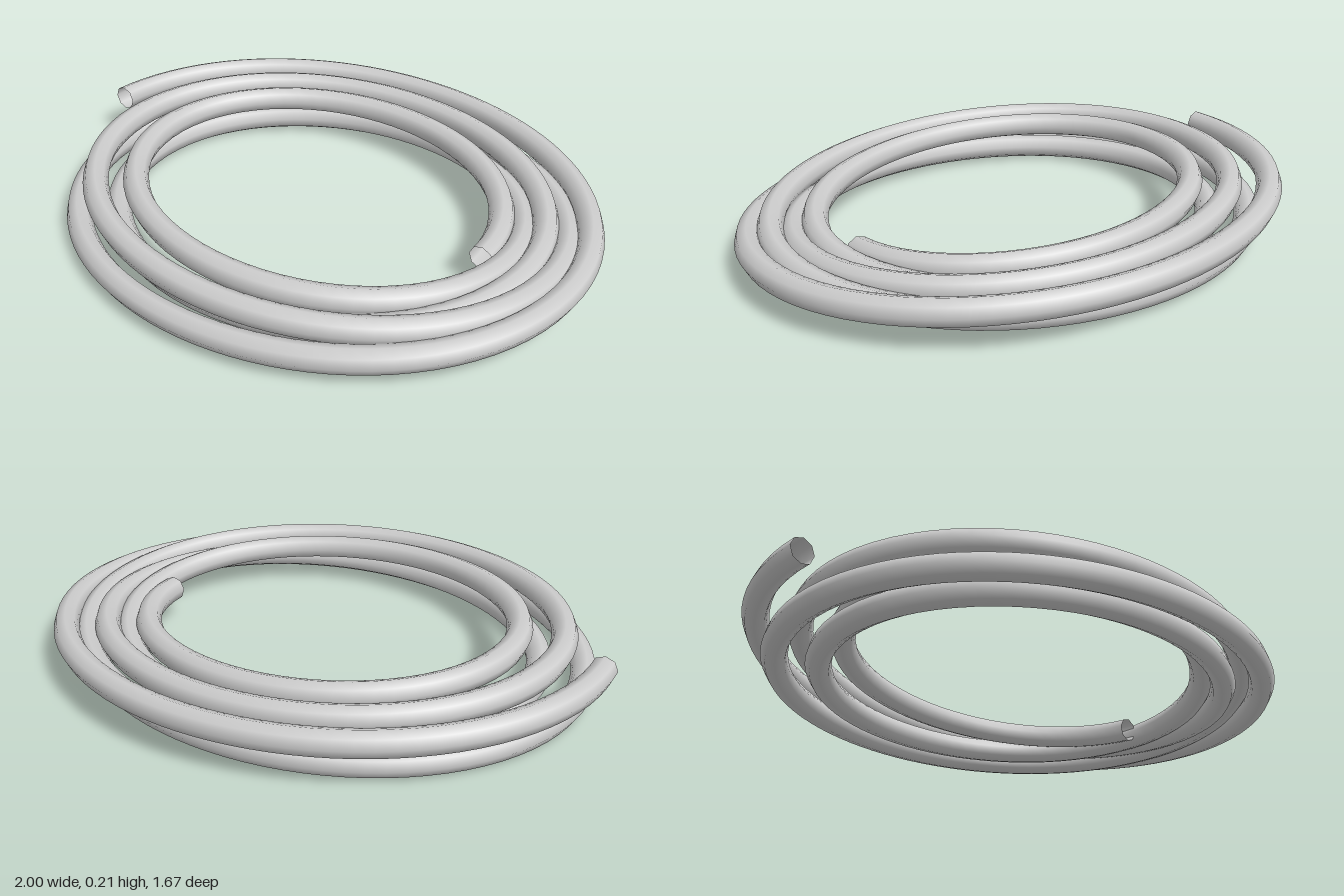
import * as THREE from 'three';

const TURNS = 4.5, PITCH = 0.0745, TUBE_RADIUS = 0.044;

// Flat oval spiral that weaves up and down once every two turns
class CoilCurve extends THREE.Curve {
  getPoint(u, target = new THREE.Vector3()) {
    const t = u * TURNS;
    const angle = t * Math.PI * 2;
    const r = 0.974 - PITCH * t;
    return target.set(
      0.0185 - r * Math.cos(angle),
      0.107 + 0.063 * Math.cos(Math.PI * t),
      0.011 - 0.845 * r * Math.sin(angle)
    );
  }
}

export function createModel() {
  const group = new THREE.Group();
  group.name = 'coiledHose';

  // Open-ended tube, so the inside shows at both ends
  const grey = new THREE.MeshStandardMaterial({ color: 0xcccccc, side: THREE.DoubleSide });
  grey.name = 'light grey';
  const hose = new THREE.Mesh(new THREE.TubeGeometry(new CoilCurve(), 360, TUBE_RADIUS, 8, false), grey);
  hose.name = 'hose';
  group.add(hose);
  return group;
}
